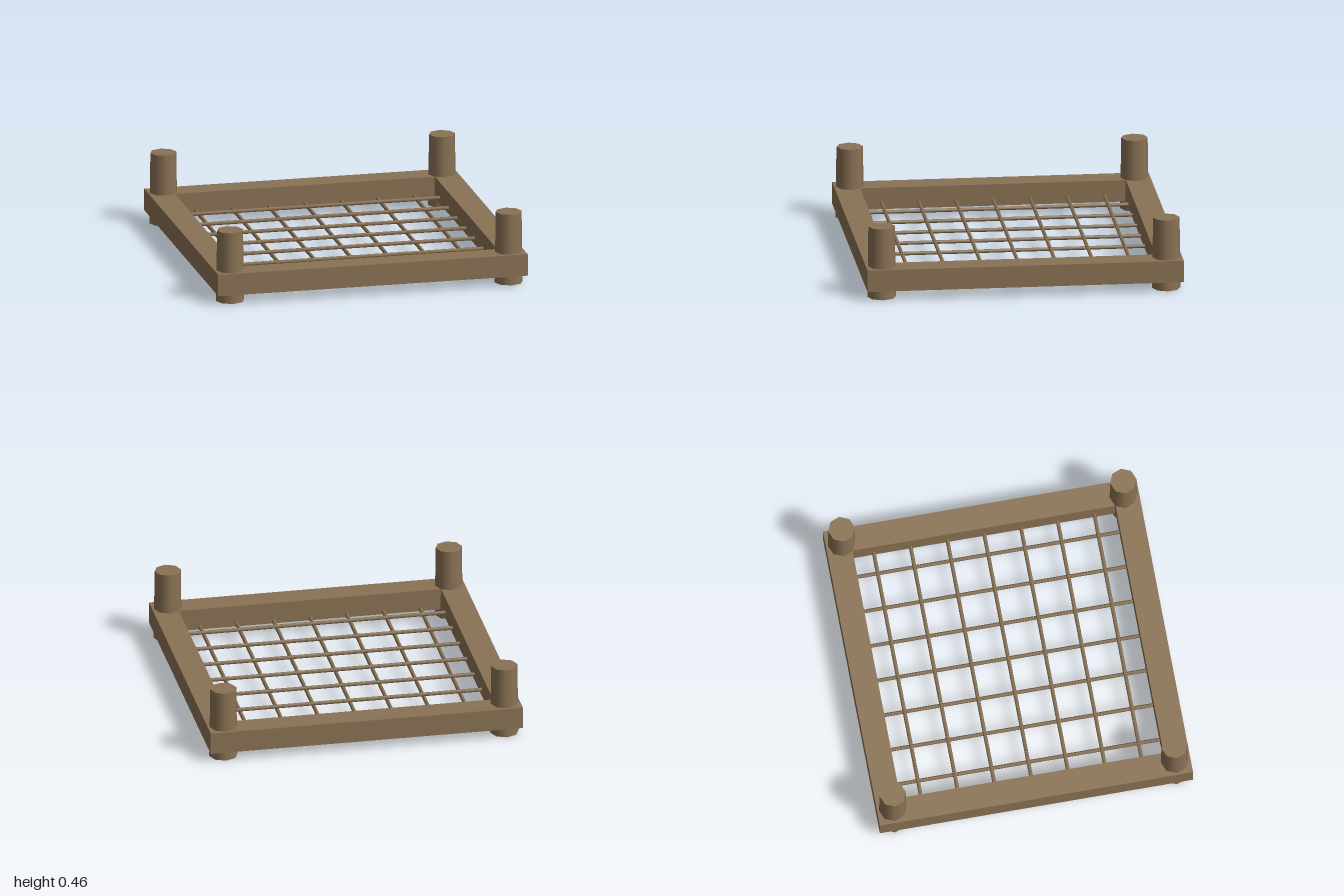
import * as THREE from 'three';

export function createModel() {
  const group = new THREE.Group();
  const wood = new THREE.MeshStandardMaterial({ color: 0x8b7355 });
  wood.name = 'brown wood';

  const add = (name, geometry, x, y, z) => {
    const mesh = new THREE.Mesh(geometry, wood);
    mesh.name = name;
    mesh.position.set(x, y, z);
    group.add(mesh);
    return mesh;
  };

  // Square frame with an open middle
  const half = 1, inner = 0.84;
  const square = (r) => [[-r, -r], [r, -r], [r, r], [-r, r]].map(([x, y]) => new THREE.Vector2(x, y));
  const outline = new THREE.Shape(square(half));
  outline.holes.push(new THREE.Path(square(inner).reverse()));
  const frame = new THREE.ExtrudeGeometry(outline, { depth: 0.14, bevelEnabled: false });
  frame.rotateX(-Math.PI / 2);
  add('frame', frame, 0, 0.06, 0);

  // Tapered eight-sided corner posts
  const post = new THREE.CylinderGeometry(0.084, 0.09, 0.46, 8);
  for (const x of [-0.9, 0.9]) {
    for (const z of [-0.9, 0.9]) add('cornerPost', post, x, 0.23, z);
  }

  // Woven bed: seven cords each way, the crosswise ones lying on top
  const cord = new THREE.CylinderGeometry(0.012, 0.012, inner * 2, 6);
  for (let i = -3; i <= 3; i++) {
    const offset = i * 0.235;
    add('lengthwiseCord', cord, offset, 0.08, 0).rotation.x = Math.PI / 2;
    add('crosswiseCord', cord, 0, 0.1, offset).rotation.z = Math.PI / 2;
  }

  return group;
}
